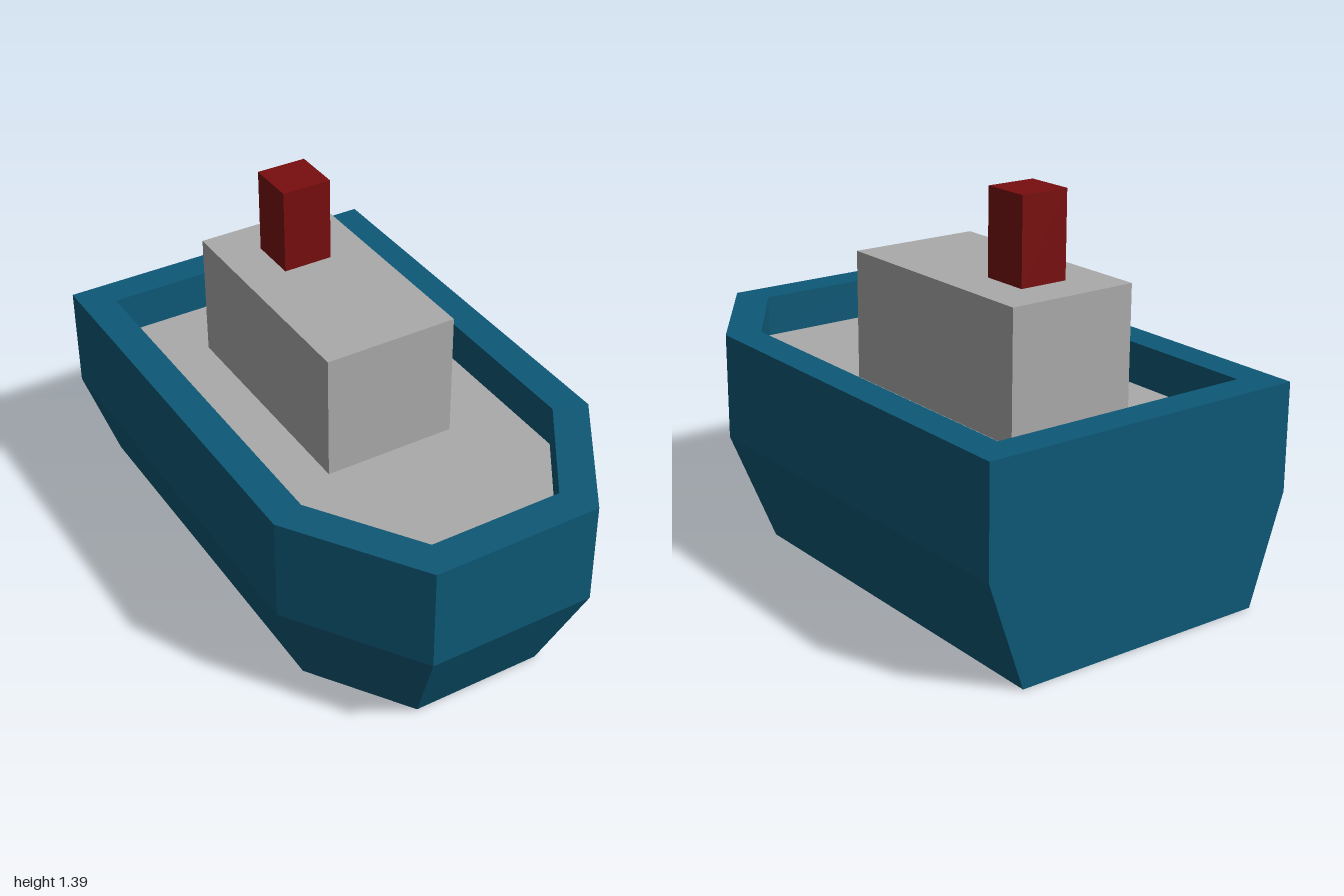
import * as THREE from 'three';

const hullBlue = new THREE.MeshStandardMaterial({ color: 0x0d5876 });
const cabinGrey = new THREE.MeshStandardMaterial({ color: 0xaaaaaa });
const funnelRed = new THREE.MeshStandardMaterial({ color: 0x780e0f });

// Six-sided boat outline: flat stern, straight sides, chamfered flat bow
function outline(y, halfWidth, stern, shoulder, halfBow, bow) {
  return [
    [-halfWidth, y, stern], [-halfWidth, y, shoulder], [-halfBow, y, bow],
    [halfBow, y, bow], [halfWidth, y, shoulder], [halfWidth, y, stern],
  ];
}

// Flat cap over a convex outline, facing up or down
function cap(ring, up) {
  const out = [];
  for (let i = 1; i < ring.length - 1; i++) {
    out.push(ring[0], ...(up ? [ring[i], ring[i + 1]] : [ring[i + 1], ring[i]]));
  }
  return out;
}

// Bands of faces joining successive outlines
function loft(rings) {
  const out = [];
  for (let r = 0; r < rings.length - 1; r++) {
    const a = rings[r], b = rings[r + 1];
    for (let i = 0; i < a.length; i++) {
      const j = (i + 1) % a.length;
      out.push(a[i], a[j], b[j], a[i], b[j], b[i]);
    }
  }
  return out;
}

function facetedMesh(name, points, material) {
  const geometry = new THREE.BufferGeometry();
  geometry.setAttribute('position', new THREE.Float32BufferAttribute(points.flat(), 3));
  geometry.computeVertexNormals();
  const mesh = new THREE.Mesh(geometry, material);
  mesh.name = name;
  return mesh;
}

// Box given by its bottom height, top height and z range
function block(name, width, y0, y1, z0, z1, material) {
  const mesh = new THREE.Mesh(new THREE.BoxGeometry(width, y1 - y0, z1 - z0), material);
  mesh.position.set(0, (y0 + y1) / 2, (z0 + z1) / 2);
  mesh.name = name;
  return mesh;
}

export function createModel() {
  const boat = new THREE.Group();
  boat.name = 'boat';

  // Hull: keel, knuckle, gunwale, then over the rim and down to the deck
  const keel = outline(0, 0.48, -1, 0.465, 0.242, 0.82);
  const deckLine = outline(0.62, 0.492, -0.88, 0.5, 0.243, 0.875);
  const hullRings = [
    keel,
    outline(0.387, 0.613, -1, 0.54, 0.307, 1),
    outline(0.77, 0.613, -1, 0.54, 0.307, 1),
    outline(0.77, 0.492, -0.88, 0.5, 0.243, 0.875),
    deckLine,
  ];
  boat.add(facetedMesh('hull', [...cap(keel, false), ...loft(hullRings)], hullBlue));

  // Deck inside the rim
  boat.add(facetedMesh('deck', cap(deckLine, true), cabinGrey));

  // Cabin and funnel
  boat.add(block('cabin', 0.488, 0.62, 1.08, -0.63, 0.25, cabinGrey));
  boat.add(block('funnel', 0.182, 1.08, 1.387, -0.478, -0.3, funnelRed));

  return boat;
}
